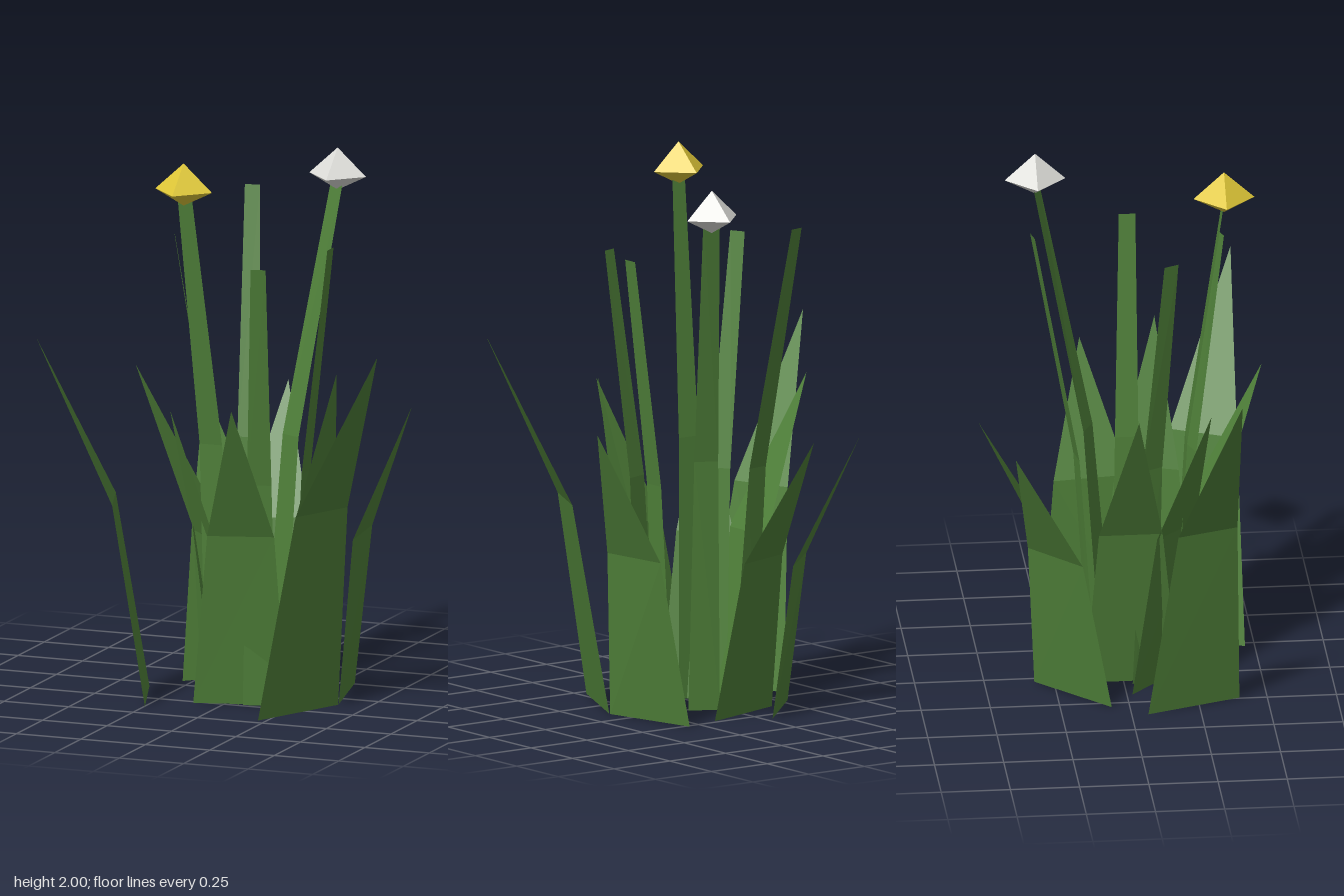
import * as THREE from 'three';

const green = new THREE.MeshStandardMaterial({ name: 'leaf green', color: 0x4f8039, flatShading: true, side: THREE.DoubleSide });
const yellow = new THREE.MeshStandardMaterial({ name: 'blossom yellow', color: 0xe0c838, flatShading: true });
const white = new THREE.MeshStandardMaterial({ name: 'blossom white', color: 0xdededa, flatShading: true });

// Flat ribbon through a list of cross edges, each [leftPoint, rightPoint]
function ribbon(name, edges) {
  const pos = [];
  for (let i = 0; i < edges.length - 1; i++) {
    const [a, b] = edges[i], [c, d] = edges[i + 1];
    pos.push(...a, ...b, ...d);
    if (c !== d) pos.push(...a, ...d, ...c);
  }
  const g = new THREE.BufferGeometry();
  g.setAttribute('position', new THREE.Float32BufferAttribute(pos, 3));
  g.computeVertexNormals();
  const m = new THREE.Mesh(g, green);
  m.name = name;
  return m;
}

// Pointed leaf: base edge on the ground, narrower bend edge, single tip
function leaf([ax, az, bx, bz], [cx, cz, dx, dz], bendY, tip) {
  return ribbon('leaf', [
    [[ax, 0, az], [bx, 0, bz]],
    [[cx, bendY, cz], [dx, bendY, dz]],
    [tip, tip],
  ]);
}

// Slim stem: tapers from base edge to top edge, leaning more above the middle
function stem([ax, az, bx, bz], [cx, cz, dx, dz], h) {
  const mid = (p, q, centre0, centre1) =>
    centre0 + (centre1 - centre0) * 0.28 + ((p - centre0) + (q - centre1)) / 2;
  const bx0 = (ax + bx) / 2, bz0 = (az + bz) / 2, tx = (cx + dx) / 2, tz = (cz + dz) / 2;
  return ribbon('stem', [
    [[ax, 0, az], [bx, 0, bz]],
    [[mid(ax, cx, bx0, tx), h / 2, mid(az, cz, bz0, tz)], [mid(bx, dx, bx0, tx), h / 2, mid(bz, dz, bz0, tz)]],
    [[cx, h, cz], [dx, h, dz]],
  ]);
}

// Four-sided faceted blossom
function blossom(name, material, x, y, z) {
  const profile = [[0, -0.055], [0.11, 0], [0, 0.1]].map(p => new THREE.Vector2(...p));
  const m = new THREE.Mesh(new THREE.LatheGeometry(profile, 4), material);
  m.name = name;
  m.position.set(x, y, z);
  return m;
}

export function createModel() {
  const plant = new THREE.Group();
  plant.name = 'floweringPlant';

  // Leaves: base edge, bend edge (x, z, x, z), bend height, tip
  const leaves = [
    [[-0.365, 0.06, -0.245, 0.40], [-0.455, 0.16, -0.38, 0.38], 0.725, [-0.68, 1.32, 0.37]],
    [[0.22, 0.465, 0.385, 0.105], [0.36, 0.45, 0.467, 0.217], 0.755, [0.68, 1.37, 0.457]],
    [[0.385, 0.10, 0.30, -0.265], [0.425, 0.063, 0.39, -0.21], 0.6, [0.59, 1.075, -0.098]],
    [[-0.11, 0.27, 0.215, 0.18], [-0.026, 0.345, 0.206, 0.275], 0.635, [0.137, 1.14, 0.517]],
    [[-0.055, -0.14, -0.055, 0.20], [-0.17, -0.10, -0.17, 0.13], 0.62, [-0.435, 1.17, 0.02]],
    [[-0.03, -0.32, -0.287, -0.065], [-0.10, -0.35, -0.293, -0.17], 0.555, [-0.345, 1.005, -0.417]],
    [[0.165, -0.235, -0.17, -0.127], [0.095, -0.32, -0.13, -0.245], 0.58, [-0.063, 1.037, -0.525]],
    [[0.20, 0.28, 0.31, -0.07], [0.265, 0.23, 0.335, 0.01], 0.68, [0.40, 1.23, 0.155]],
    [[-0.18, 0.02, 0.055, 0.24], [-0.175, 0.11, -0.03, 0.26], 0.6, [-0.185, 1.075, 0.305]],
  ];
  for (const l of leaves) plant.add(leaf(...l));

  // Stems: base edge, top edge (x, z, x, z), height
  const stems = [
    [[-0.10, 0.175, 0.02, 0.175], [-0.138, 0.355, -0.083, 0.355], 1.89],
    [[0.02, -0.07, 0.12, -0.015], [0.195, -0.305, 0.25, -0.28], 1.85],
    [[-0.085, 0.03, -0.03, 0.125], [-0.24, 0.13, -0.215, 0.183], 1.69],
    [[-0.11, -0.10, 0.005, -0.117], [-0.153, -0.33, -0.10, -0.342], 1.785],
    [[0.07, 0.24, 0.185, 0.20], [0.158, 0.383, 0.21, 0.367], 1.635],
    [[0.195, 0.09, 0.195, -0.02], [0.333, 0.08, 0.333, 0.02], 1.66],
  ];
  for (const s of stems) plant.add(stem(...s));

  // Blossoms on the two tallest stems
  plant.add(blossom('yellowBlossom', yellow, -0.112, 1.9, 0.357));
  plant.add(blossom('whiteBlossom', white, 0.222, 1.857, -0.293));
  return plant;
}
